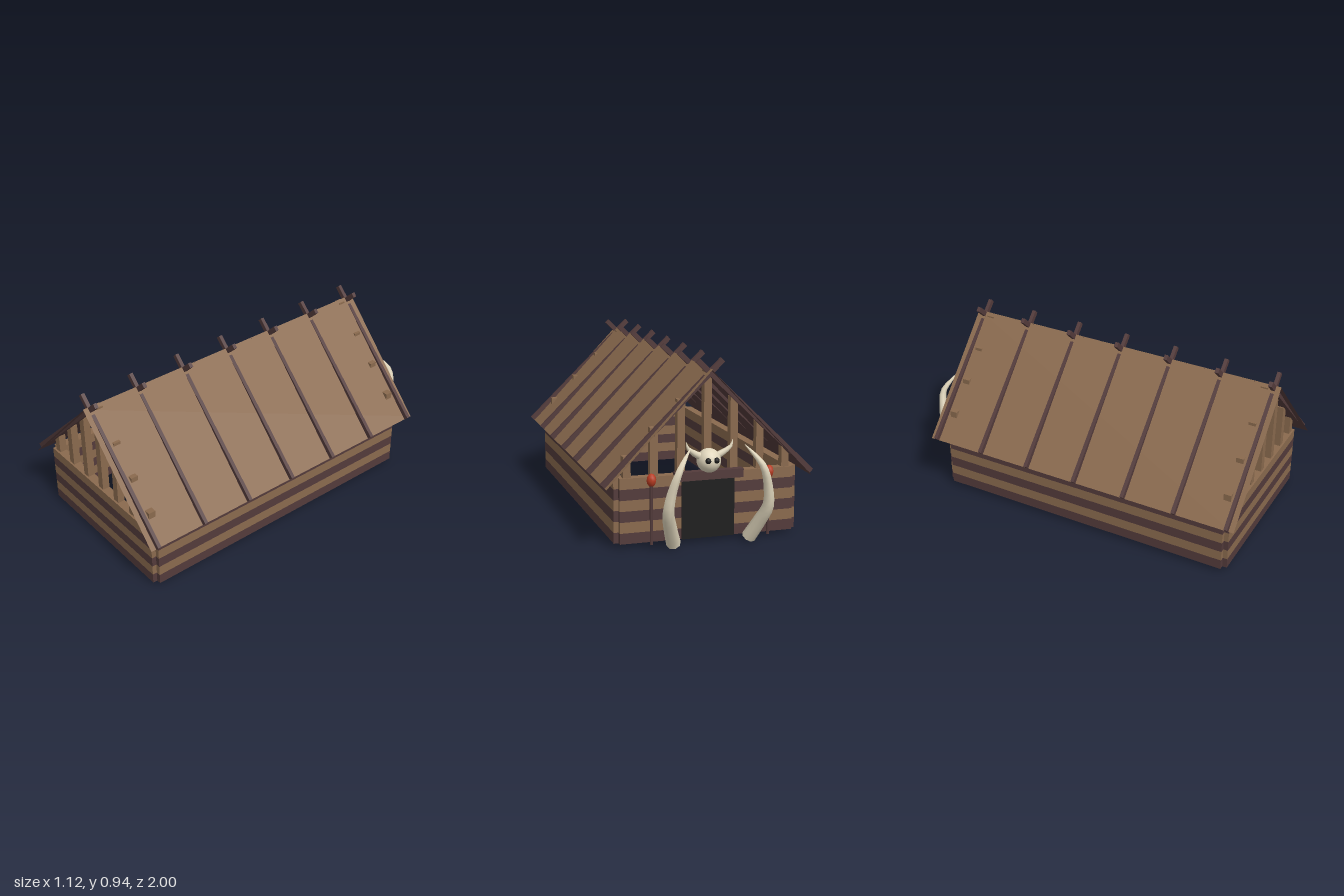
import * as THREE from 'three';

const mat = (name, color, extra = {}) => {
  const m = new THREE.MeshStandardMaterial({ color, ...extra });
  m.name = name;
  return m;
};

export function createModel() {
  const light = mat('lightWood', 0x8a6a4e);
  const dark = mat('darkWood', 0x533b3b);
  const bone = mat('bone', 0xe0d6bc);
  const boneFlat = bone;
  const red = mat('redTip', 0xb83c22);
  const black = mat('doorBlack', 0x1e1e1e);

  const model = new THREE.Group();
  model.name = 'longhouse';
  const add = (name, geo, material, x = 0, y = 0, z = 0, parent = model) => {
    const m = new THREE.Mesh(geo, material);
    m.name = name;
    m.position.set(x, y, z);
    parent.add(m);
    return m;
  };
  const box = (name, w, h, d, material, x, y, z, parent) =>
    add(name, new THREE.BoxGeometry(w, h, d), material, x, y, z, parent);

  // Striped plank walls with notched corners
  const zFront = 0.92, zBack = -0.755, zMid = (zFront + zBack) / 2;
  const walls = new THREE.Group();
  walls.name = 'walls';
  model.add(walls);
  const plank = 0.335 / 6;
  for (let i = 0; i < 6; i++) {
    const y = 0.022 + plank * (i + 0.5);
    const m = i % 2 ? light : dark;
    for (const z of [zFront, zBack]) box('endPlank', 0.92, plank, 0.05, m, 0, y, z, walls);
    for (const s of [-1, 1]) box('sidePlank', 0.05, plank, zFront - zBack, m, s * 0.46, y, zMid, walls);
  }

  // Gable studs, their tops poking through the roof
  const studTops = [0.875, 0.737, 0.602, 0.465];
  for (const z of [0.915, -0.752])
    for (let i = -3; i <= 3; i++) {
      const top = studTops[Math.abs(i)], base = 0.35;
      box('gableStud', 0.04, top - base, 0.04, light, i * 0.14, (top + base) / 2, z);
    }

  // Thin roof slopes: light outside, dark inside
  const run = 0.542, rise = 0.566, pitch = Math.atan2(rise, run);
  for (const s of [-1, 1]) {
    const slope = new THREE.Group();
    slope.name = 'roofSlope';
    slope.position.set(s * run / 2, 0.322 + rise / 2, 0.08);
    slope.rotation.z = -s * pitch;
    model.add(slope);
    const sheet = (turn) => new THREE.PlaneGeometry(Math.hypot(run, rise), 1.84).rotateX(turn);
    add('roofOutside', sheet(-Math.PI / 2), light, 0, 0, 0, slope);
    add('roofInside', sheet(Math.PI / 2), dark, 0, -0.004, 0, slope);
  }

  // Crossed rafters
  for (let i = 0; i < 7; i++)
    for (const s of [-1, 1]) {
      const r = box('rafter', 0.859, 0.027, 0.02, dark, s * 0.244, 0.631, 0.962 - i * 0.2935);
      r.rotation.z = -s * Math.atan2(0.597, 0.6175);
    }

  // Rear doorway
  box('door', 0.28, 0.31, 0.008, black, 0, 0.177, -0.784);
  box('lintel', 0.36, 0.045, 0.04, dark, 0, 0.35, -0.79);

  // Torches beside the door
  for (const s of [-1, 1]) {
    add('torchPole', new THREE.CylinderGeometry(0.008, 0.008, 0.32, 8), dark, s * 0.31, 0.182, -0.822);
    const tip = add('torchTip', new THREE.SphereGeometry(0.025, 8, 6), red, s * 0.31, 0.352, -0.825);
    tip.scale.y = 1.35;
  }

  // Tapered horn: rings along a curve, points given as [x, y, z, radius]
  const horn = (name, pts, steps, sides) => {
    const curve = new THREE.CatmullRomCurve3(pts.map(p => new THREE.Vector3(p[0], p[1], p[2])));
    const geo = new THREE.TubeGeometry(curve, steps, 1, sides, false);
    const pos = geo.attributes.position, v = new THREE.Vector3();
    for (let i = 0; i <= steps; i++) {
      const u = i / steps, c = curve.getPointAt(u);
      const t = curve.getUtoTmapping(u) * (pts.length - 1);
      const k = Math.min(Math.floor(t), pts.length - 2);
      const r = THREE.MathUtils.lerp(pts[k][3], pts[k + 1][3], t - k);
      for (let j = 0; j <= sides; j++) {
        const n = i * (sides + 1) + j;
        v.fromBufferAttribute(pos, n).sub(c).multiplyScalar(r).add(c);
        pos.setXYZ(n, v.x, v.y, v.z);
      }
    }
    geo.computeVertexNormals();
    add(name, geo, boneFlat);
    // Closed base
    const cap = add(name + 'Base', new THREE.CircleGeometry(pts[0][3], sides), bone, ...pts[0].slice(0, 3));
    cap.quaternion.setFromUnitVectors(new THREE.Vector3(0, 0, 1), curve.getTangentAt(0).negate());
  };

  // Great tusks and the horned skull over the door
  for (const s of [-1, 1]) {
    horn('tusk', [
      [s * 0.2, 0.022, -0.838, 0.037], [s * 0.235, 0.12, -0.895, 0.034],
      [s * 0.26, 0.21, -0.945, 0.03], [s * 0.25, 0.31, -0.965, 0.025],
      [s * 0.217, 0.42, -0.98, 0.018], [s * 0.18, 0.475, -0.953, 0.011],
      [s * 0.14, 0.522, -0.922, 0.002]], 18, 8);
    horn('skullHorn', [
      [s * 0.035, 0.44, -0.79, 0.02], [s * 0.085, 0.468, -0.795, 0.015],
      [s * 0.115, 0.495, -0.8, 0.008], [s * 0.122, 0.525, -0.8, 0.001]], 8, 8);
    add('skullEye', new THREE.SphereGeometry(0.015, 10, 8), black, s * 0.022, 0.432, -0.846);
  }
  add('skull', new THREE.SphereGeometry(0.062, 16, 12), bone, 0, 0.422, -0.79);

  return model;
}
